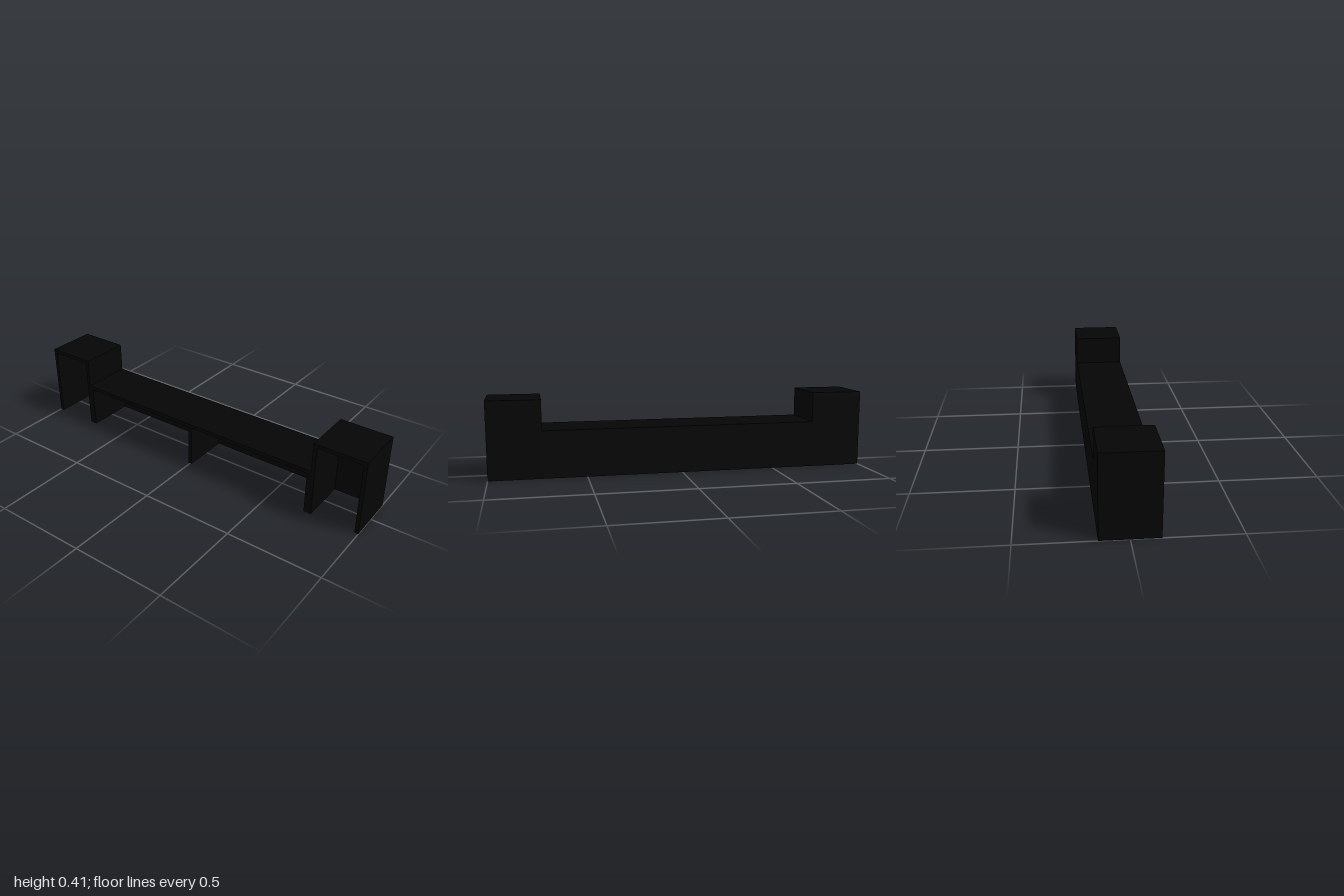
import * as THREE from 'three';

const T = 0.02;       // board thickness
const D = 0.274;      // depth
const TOWER_H = 0.405;
const LOW_H = 0.247;
const INNER = 0.725;  // where the low bench meets the towers

export function createModel() {
  const black = new THREE.MeshStandardMaterial({ color: 0x050505 });
  black.name = 'black board';

  // Board given by its x, y and z limits
  function board(name, x0, x1, y0, y1, z0, z1) {
    const mesh = new THREE.Mesh(new THREE.BoxGeometry(x1 - x0, y1 - y0, z1 - z0), black);
    mesh.position.set((x0 + x1) / 2, (y0 + y1) / 2, (z0 + z1) / 2);
    mesh.name = name;
    return mesh;
  }

  // Open-fronted, open-bottomed case: top, back, evenly spaced uprights
  // and a rail under the top against the back of each bay
  function openCase(name, x0, x1, height, uprights, railBottom) {
    const group = new THREE.Group();
    group.name = name;
    const z0 = -D / 2, z1 = D / 2, under = height - T;
    const step = (x1 - x0 - T) / (uprights - 1);
    group.add(board('topBoard', x0, x1, under, height, z0, z1));
    group.add(board('backBoard', x0, x1, 0, under, z0, z0 + T));
    for (let i = 0; i < uprights; i++) {
      const x = x0 + step * i;
      group.add(board('upright', x, x + T, 0, under, z0 + T, z1));
      if (i < uprights - 1) {
        group.add(board('backRail', x + T, x + step, railBottom, under, z0 + T, z0 + 2 * T));
      }
    }
    return group;
  }

  const model = new THREE.Group();
  model.name = 'shelfUnit';
  model.add(openCase('rightTower', -1, -INNER, TOWER_H, 2, 0.338));
  model.add(openCase('lowBench', -INNER, INNER, LOW_H, 3, 0.152));
  model.add(openCase('leftTower', INNER, 1, TOWER_H, 2, 0.338));
  return model;
}
